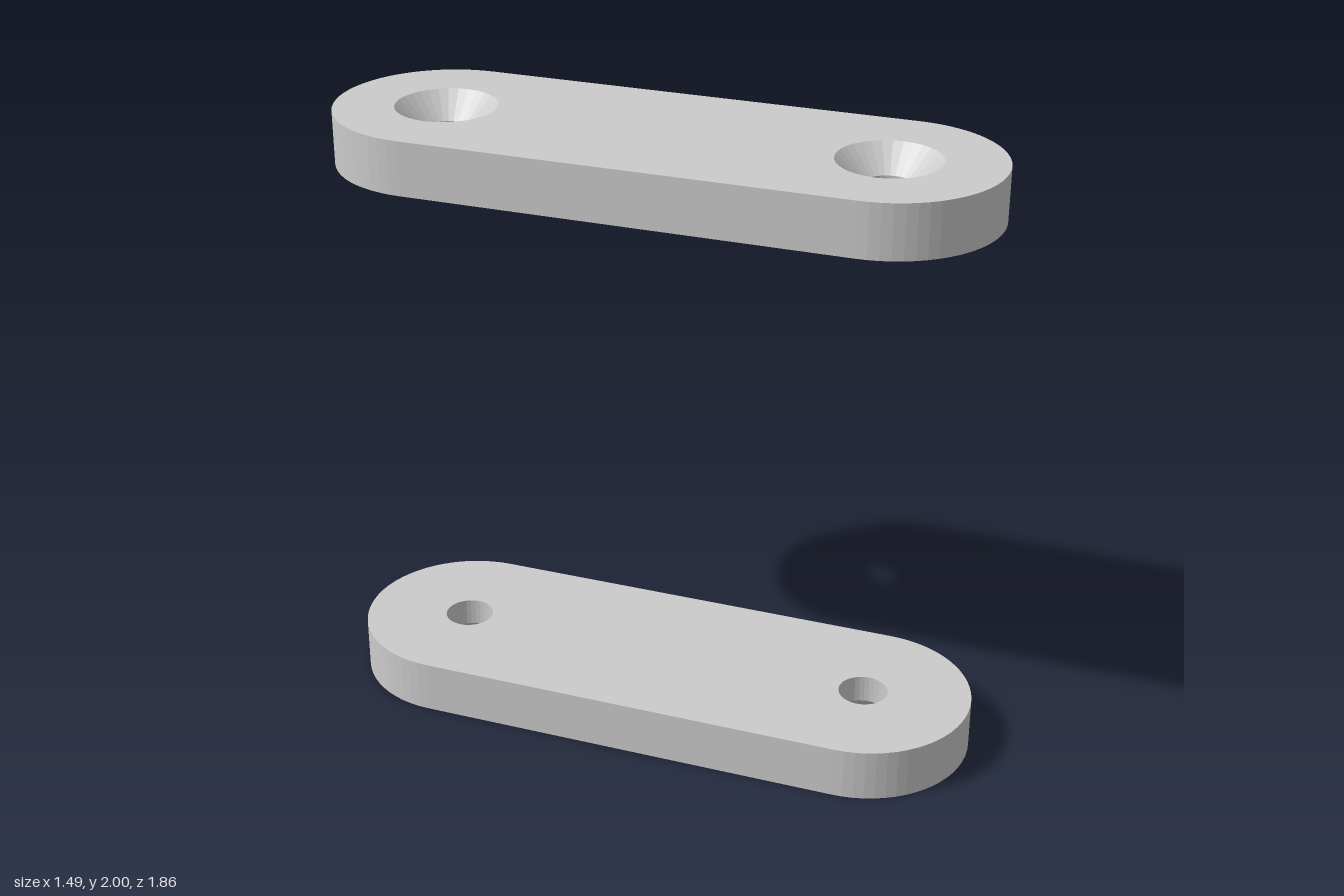
import * as THREE from 'three';

const HALF_SPAN = 0.7;    // plate centre to hole centre
const END_RADIUS = 0.35;
const THICKNESS = 0.172;
const SINK_RADIUS = 0.16;
const BORE_RADIUS = 0.08;
const BORE_DEPTH = 0.092; // straight bore below the countersink

// Round-ended plate with two countersunk holes, lying along x and opening to +z.
function plateGeometry() {
  const outline = new THREE.Shape();
  outline.absarc(HALF_SPAN, 0, END_RADIUS, -Math.PI / 2, Math.PI / 2, false);
  outline.absarc(-HALF_SPAN, 0, END_RADIUS, Math.PI / 2, Math.PI * 1.5, false);
  outline.closePath();
  for (const side of [-1, 1]) {
    const hole = new THREE.Path();
    hole.absarc(side * HALF_SPAN, 0, SINK_RADIUS, 0, Math.PI * 2, true);
    outline.holes.push(hole);
  }
  const geometry = new THREE.ExtrudeGeometry(outline, {
    depth: THICKNESS, steps: 2, bevelEnabled: false, curveSegments: 16,
  });

  // Narrow the two lower rings of each hole to the bore, leaving a conical sink above.
  const p = geometry.attributes.position;
  for (let i = 0; i < p.count; i++) {
    const z = p.getZ(i);
    if (z > THICKNESS * 0.75) continue;
    if (z > THICKNESS * 0.25) p.setZ(i, BORE_DEPTH);
    const cx = Math.sign(p.getX(i)) * HALF_SPAN;
    const dx = p.getX(i) - cx;
    const dy = p.getY(i);
    if (Math.hypot(dx, dy) < SINK_RADIUS * 1.1) {
      const k = BORE_RADIUS / SINK_RADIUS;
      p.setXY(i, cx + dx * k, dy * k);
    }
  }
  geometry.computeVertexNormals();
  return geometry;
}

export function createModel() {
  const model = new THREE.Group();
  model.name = 'platePair';
  const material = new THREE.MeshStandardMaterial({ color: 0xcccccc, flatShading: true });
  const diagonal = -Math.atan2(0.58, 0.393);

  // Two matching plates, countersinks facing away from each other.
  const addPlate = (name, tilt, y) => {
    const geometry = plateGeometry().rotateX(tilt).rotateY(diagonal);
    const plate = new THREE.Mesh(geometry, material);
    plate.name = name;
    plate.position.y = y;
    model.add(plate);
  };
  addPlate('upperPlate', -Math.PI / 2, 2 - THICKNESS);
  addPlate('lowerPlate', Math.PI / 2, THICKNESS);
  return model;
}
